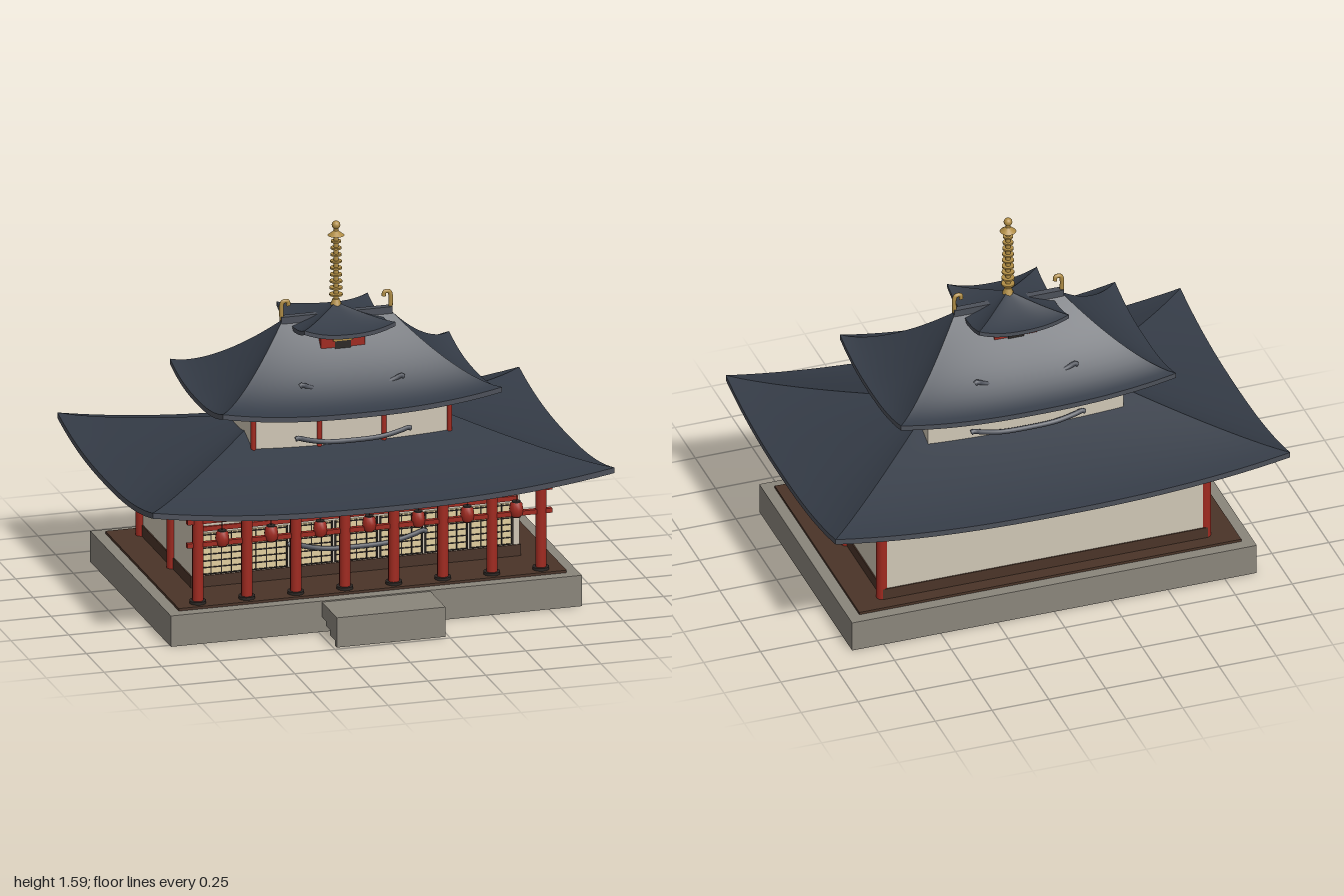
import * as THREE from 'three';

const mat = (color, extra = {}) => new THREE.MeshStandardMaterial({ color, ...extra });
const M = {
  stone: mat(0x8a857b), deck: mat(0x4a3428), wall: mat(0xcfc6b5), red: mat(0xa02a20),
  tile: mat(0x343b46, { side: THREE.DoubleSide }), trim: mat(0x4c5059, { side: THREE.DoubleSide }),
  dark: mat(0x2c2724), paper: mat(0xe2cf9f), gold: mat(0xb08d45),
};
const ZC = -0.05; // centre line of the building in z

export function createModel() {
  const root = new THREE.Group();
  root.name = 'pagoda';

  const add = (name, geo, material, x = 0, y = 0, z = 0, parent = root) => {
    const m = new THREE.Mesh(geo, material);
    m.name = name;
    m.position.set(x, y, z);
    parent.add(m);
    return m;
  };
  // box given by its extents
  const box = (name, material, x0, x1, y0, y1, z0, z1) =>
    add(name, new THREE.BoxGeometry(x1 - x0, y1 - y0, z1 - z0), material,
      (x0 + x1) / 2, (y0 + y1) / 2, (z0 + z1) / 2);
  const column = (name, material, r, x, y0, y1, z, sides = 16) =>
    add(name, new THREE.CylinderGeometry(r, r, y1 - y0, sides), material, x, (y0 + y1) / 2, z);

  // grid surface from a point rule f(i, j), with i and j from 0 to 1
  const sheet = (f, nu, nv) => {
    const pos = [], idx = [];
    for (let j = 0; j <= nv; j++) for (let i = 0; i <= nu; i++) pos.push(...f(i / nu, j / nv));
    for (let j = 0; j < nv; j++) for (let i = 0; i < nu; i++) {
      const a = j * (nu + 1) + i, b = a + 1, c = a + nu + 1, d = c + 1;
      idx.push(a, b, d, a, d, c);
    }
    const g = new THREE.BufferGeometry();
    g.setAttribute('position', new THREE.Float32BufferAttribute(pos, 3));
    g.setIndex(idx);
    g.computeVertexNormals();
    return g;
  };

  // hipped roof with concave slopes and upswept corners
  const roof = (name, hx, hz, y0, rise, power, lift, thick) => {
    const group = new THREE.Group();
    group.name = name;
    group.position.z = ZC;
    root.add(group);
    const run = Math.min(hx, hz);
    for (let k = 0; k < 4; k++) {
      const [along, out] = k % 2 ? [hz, hx] : [hx, hz];
      const point = (i, t, drop) => {
        const u = i * 2 - 1;
        return [u * (along - run * t),
          y0 + rise * t ** power + lift * Math.abs(u) ** 2.4 * (1 - t) - drop, out - run * t];
      };
      const parts = [
        ['slope', sheet((i, t) => point(i, t, 0), 28, 14), M.tile],
        ['soffit', sheet((i, t) => point(1 - i, t, thick), 28, 14), M.tile],
        ['eaveTrim', sheet((i, v) => point(i, 0, thick * (1 - v)), 28, 1), M.trim],
      ];
      for (const [part, geo, m] of parts) add(part, geo.rotateY(k * Math.PI / 2), m, 0, 0, 0, group);
    }
  };

  // sagging decorative bar with curled ends
  const curvedBar = (half, yMid, yEnd, z) => {
    const pts = [[-1, 0.85], [-0.95, 1], [-0.85, 0.75], [-0.5, 0.15], [0, 0],
      [0.5, 0.15], [0.85, 0.75], [0.95, 1], [1, 0.85]]
      .map(([u, v]) => new THREE.Vector3(u * half, yMid + (yEnd - yMid) * v, z));
    add('curvedBar', new THREE.TubeGeometry(new THREE.CatmullRomCurve3(pts), 40, 0.011, 8), M.trim);
  };

  // stone platform, deck and entrance steps
  box('platform', M.stone, -0.89, 0.89, 0, 0.135, -0.62, 0.52);
  box('deck', M.deck, -0.84, 0.84, 0.13, 0.146, -0.57, 0.47);
  [[0.52, 0.572, 0.065], [0.572, 0.635, 0.045], [0.635, 0.7, 0.022], [0.7, 0.73, 0]]
    .forEach(([z0, z1, y0]) => box('step', M.stone, -0.235, 0.235, y0, 0.13, z0, z1));

  // lower hall
  box('lowerWall', M.wall, -0.71, 0.71, 0.14, 0.57, -0.505, 0.23);
  box('wallPlinth', M.deck, -0.715, 0.715, 0.14, 0.195, -0.51, 0.235);
  for (const s of [-1, 1])
    for (const z of [-0.045, -0.485]) column('sideColumn', M.red, 0.025, s * 0.71, 0.14, 0.53, z);
  for (const y of [0.4, 0.505]) box('wallRail', M.red, -0.7, 0.7, y - 0.01, y + 0.01, 0.23, 0.24);

  // paper screens with lattice bars
  for (let i = -3; i <= 3; i++) {
    const x = i * 0.195, w = 0.09;
    box('screen', M.paper, x - w, x + w, 0.2, 0.38, 0.23, 0.235);
    for (let j = 0; j <= 6; j++)
      box('latticeRow', M.dark, x - w, x + w, 0.2 + j * 0.0285, 0.204 + j * 0.0285, 0.233, 0.24);
    for (let j = 0; j <= 4; j++) {
      const px = x - w + j * w / 2, r = j % 4 ? 0.0015 : 0.004;
      box('latticePost', M.dark, px - r, px + r, 0.2, 0.38, 0.233, 0.24);
    }
  }

  // front colonnade
  for (let i = 0; i < 8; i++) {
    const x = -0.743 + i * 0.2123;
    column('frontColumn', M.red, 0.023, x, 0.14, 0.55, 0.42);
    column('columnBase', M.dark, 0.035, x, 0.145, 0.158, 0.42);
    box('columnCapital', M.dark, x - 0.031, x + 0.031, 0.522, 0.537, 0.389, 0.451);
    if (i === 7) continue;
    // lantern hanging between columns
    const lx = x + 0.106;
    const body = [[0.018, -0.032], [0.026, -0.024], [0.03, 0], [0.026, 0.024], [0.018, 0.032]]
      .map(([r, y]) => new THREE.Vector2(r, y));
    add('lantern', new THREE.LatheGeometry(body, 12), M.red, lx, 0.418, 0.42);
    for (const y of [0.384, 0.448]) column('lanternCap', M.dark, 0.019, lx, y, y + 0.006, 0.42, 12);
    column('lanternCord', M.dark, 0.002, lx, 0.45, 0.5, 0.42, 6);
  }
  box('lowerBeam', M.red, -0.79, 0.79, 0.39, 0.41, 0.41, 0.43);
  box('upperBeam', M.red, -0.79, 0.79, 0.492, 0.516, 0.408, 0.432);

  // name board without lettering
  box('boardFrame', M.gold, -0.09, 0.09, 0.428, 0.488, 0.235, 0.25);
  box('board', M.dark, -0.079, 0.079, 0.438, 0.478, 0.245, 0.254);

  // lower roof and upper hall
  roof('lowerRoof', 1, 0.675, 0.558, 0.224, 1.3, 0.072, 0.024);
  box('upperWall', M.wall, -0.43, 0.43, 0.62, 0.9, -0.27, 0.17);
  for (const x of [-0.425, -0.14, 0.14, 0.425]) column('upperColumn', M.red, 0.011, x, 0.64, 0.88, 0.168);
  box('upperBeamBand', M.red, -0.43, 0.43, 0.843, 0.86, -0.272, 0.176);
  roof('upperRoof', 0.605, 0.375, 0.872, 0.31, 1.5, 0.052, 0.022);

  curvedBar(0.3, 0.262, 0.305, 0.25);
  for (const s of [-1, 1]) {
    curvedBar(0.25, 0.71, 0.742, ZC + s * 0.245);
    curvedBar(0.225, 0.92, 0.965, ZC + s * 0.222);
  }

  // ridge bars and hooked finials
  for (const s of [-1, 1]) {
    box('ridgeBar', M.trim, Math.min(s * 0.07, s * 0.24), Math.max(s * 0.07, s * 0.24),
      1.165, 1.195, ZC - 0.015, ZC + 0.015);
    const hook = [[0.236, 1.18], [0.236, 1.245], [0.23, 1.258], [0.21, 1.258], [0.206, 1.24]]
      .map(([x, y]) => new THREE.Vector3(s * x, y, ZC));
    add('ridgeFinial', new THREE.TubeGeometry(new THREE.CatmullRomCurve3(hook), 24, 0.0095, 8), M.gold);
  }

  // lantern room with framed windows and its own small roof
  box('topRoom', M.red, -0.095, 0.095, 1, 1.16, ZC - 0.097, ZC + 0.097);
  for (const s of [-1, 1]) {
    add('topWindow', new THREE.BoxGeometry(0.07, 0.05, 0.008), M.dark, 0, 1.075, ZC + s * 0.097);
    add('windowLintel', new THREE.BoxGeometry(0.085, 0.01, 0.012), M.gold, 0, 1.104, ZC + s * 0.098);
  }
  roof('topRoof', 0.197, 0.197, 1.156, 0.08, 1.3, 0.036, 0.018);

  // ringed spire
  column('spirePole', M.gold, 0.01, 0, 1.18, 1.57, ZC, 12);
  add('spireBase', new THREE.CylinderGeometry(0.014, 0.026, 0.03, 12), M.gold, 0, 1.235, ZC);
  for (let i = 0; i < 9; i++) {
    const r = 0.028 - i * 0.0008;
    column('spireRing', M.gold, r, 0, 1.265 + i * 0.029, 1.272 + i * 0.029, ZC, 20);
  }
  add('spireCanopy', new THREE.CylinderGeometry(0.01, 0.035, 0.02, 20), M.gold, 0, 1.537, ZC);
  add('spireBall', new THREE.SphereGeometry(0.018, 16, 12), M.gold, 0, 1.572, ZC);

  return root;
}
